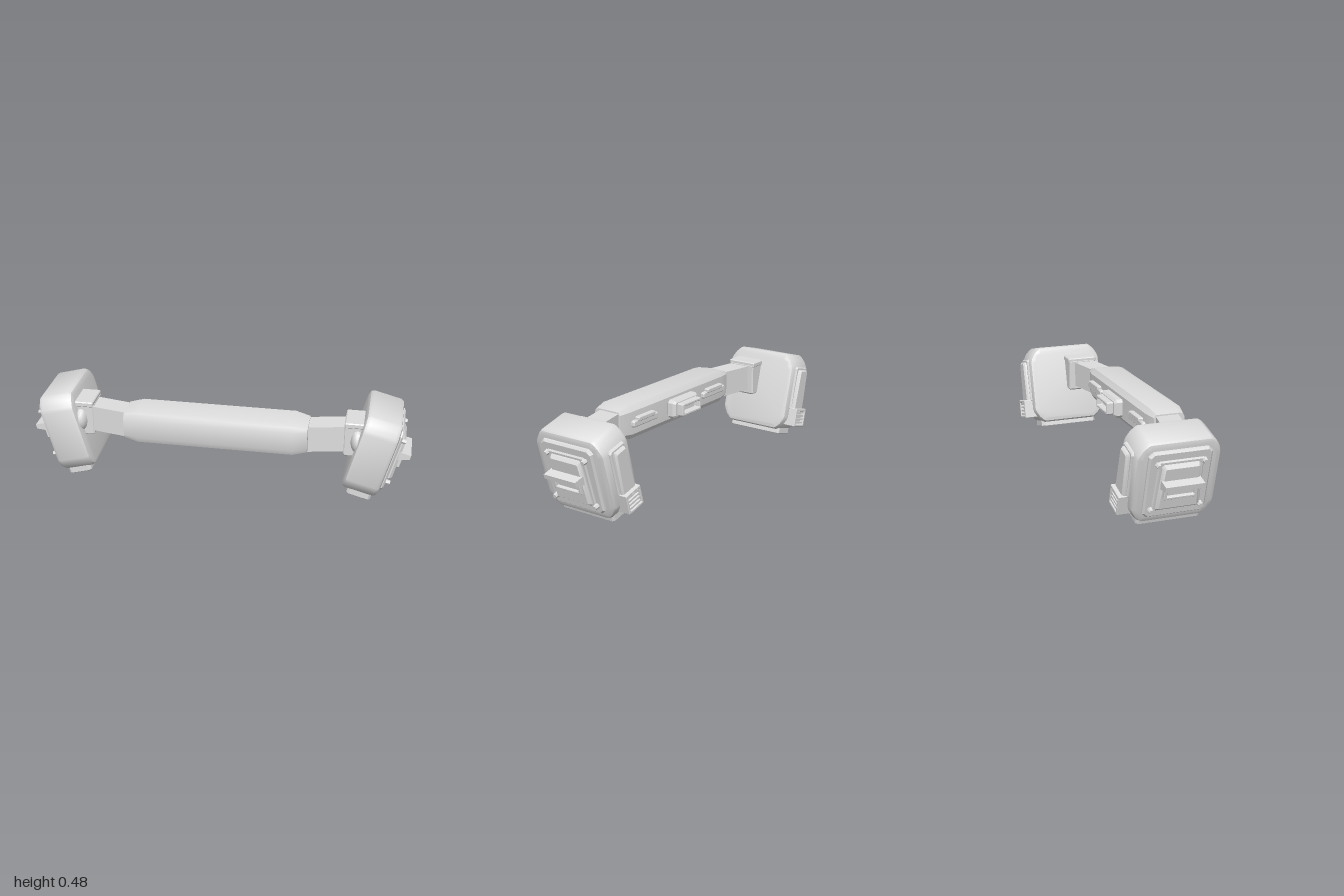
import * as THREE from 'three';
import { toCreasedNormals, mergeGeometries } from 'three/addons/utils/BufferGeometryUtils.js';

const TILT = THREE.MathUtils.degToRad(15);
const ZC = 0.008; // pod centre in depth

// Rectangle outline with cut corners
const cutRect = (w, h, cx, cy = cx) => [
  [-w + cx, -h], [w - cx, -h], [w, -h + cy], [w, h - cy],
  [w - cx, h], [-w + cx, h], [-w, h - cy], [-w, -h + cy],
];

// Bevelled slab along z from 0 to depth; the outline is its widest section
function slab(points, depth, bevel, thick = bevel, segments = 1, hole) {
  const shape = new THREE.Shape(points.map(p => new THREE.Vector2(...p)));
  if (hole) shape.holes.push(new THREE.Path(hole.map(p => new THREE.Vector2(...p))));
  const g = new THREE.ExtrudeGeometry(shape, {
    depth: depth - 2 * thick, bevelEnabled: bevel > 0, bevelSize: bevel,
    bevelThickness: thick, bevelOffset: -bevel, bevelSegments: segments,
  });
  return g.translate(0, 0, thick);
}

// The same slab, facing +x and placed on the pod's side
const sideSlab = (x, y, z, ...args) => slab(...args).rotateY(Math.PI / 2).translate(x, y, z);
// The same slab, facing -z
const backSlab = (x, y, z, ...args) => slab(...args).rotateY(Math.PI).translate(x, y, z);

const box = (x0, x1, y0, y1, z0, z1) =>
  new THREE.BoxGeometry(x1 - x0, y1 - y0, z1 - z0)
    .translate((x0 + x1) / 2, (y0 + y1) / 2, (z0 + z1) / 2);

function finish(g, crease = 0.5) {
  const out = toCreasedNormals(g, crease);
  out.deleteAttribute('uv');
  return out;
}

// Mirror across x and restore the corner order
function mirrored(geometry) {
  const g = geometry.clone();
  g.scale(-1, 1, 1);
  for (const name of ['position', 'normal']) {
    const a = g.attributes[name].array;
    for (let i = 0; i < a.length; i += 9) {
      for (let k = 0; k < 3; k++) [a[i + k], a[i + 6 + k]] = [a[i + 6 + k], a[i + k]];
    }
  }
  return g;
}

export function createModel() {
  const model = new THREE.Group();
  model.name = 'model';
  const grey = new THREE.MeshStandardMaterial({ color: 0xdddddd });
  grey.name = 'lightGrey';

  const sides = ['left', 'right'].map(s => {
    const group = new THREE.Group();
    group.name = s + 'End';
    model.add(group);
    return group;
  });
  const put = (parent, name, g) => {
    const mesh = new THREE.Mesh(g, grey);
    mesh.name = name;
    parent.add(mesh);
  };
  const pair = (name, geometry, crease) => {
    const g = finish(geometry, crease);
    put(sides[0], name, g);
    put(sides[1], name, mirrored(g));
  };
  const podPair = (name, geometry, crease) => pair(name, geometry.rotateZ(-TILT), crease);

  // Grip: a long soft-cornered bar, tapered at both ends
  const half = [[-0.05, 0.06], [-0.07, 0.088], [-0.21, 0.088], [-0.237, 0.079], [-0.25, 0.05]];
  const outline = [...half, ...half.map(([a, b]) => [a, -b]).reverse()];
  put(model, 'grip', finish(
    slab(outline, 0.95, 0.018, 0.075).rotateY(Math.PI / 2).translate(-0.475, 0.348, 0), 0.6));

  // Central fixture on the back of the grip
  put(model, 'centreBase', finish(
    backSlab(0, 0.348, 0.055, cutRect(0.11, 0.05, 0.015), 0.055, 0.012)));
  put(model, 'centreFrame', finish(
    backSlab(0, 0.348, 0.005, cutRect(0.083, 0.034, 0.006), 0.04, 0.004, 0.004, 1,
      cutRect(0.066, 0.018, 0.003))));

  // Stepped latches on the back of the grip, with small teeth below
  pair('latchPlate', backSlab(0.305, 0.345, 0.06, cutRect(0.103, 0.018, 0.008), 0.028, 0.006));
  pair('latchBar', backSlab(0.305, 0.366, 0.06, cutRect(0.07, 0.012, 0.005), 0.034, 0.004));
  const ribs = [];
  for (let i = -3; i <= 3; i++) {
    const x = 0.305 + i * 0.022;
    ribs.push(box(x - 0.005, x + 0.005, 0.32, 0.33, 0.043, 0.055));
  }
  pair('latchTeeth', mergeGeometries(ribs));

  // Arm: slants back from the grip to the pod
  const arm = box(0.45, 0.69, 0.272, 0.411, -0.06, 0.06);
  const p = arm.attributes.position;
  for (let i = 0; i < p.count; i++) p.setZ(i, p.getZ(i) + 0.137 - 0.21 * (p.getX(i) - 0.475));
  pair('arm', arm);

  // Bracket joining arm and pod
  pair('bracket', slab(cutRect(0.052, 0.088, 0.008), 0.157, 0.006).translate(0.705, 0.335, 0.006));
  pair('bracketCap', slab(cutRect(0.053, 0.014, 0.005), 0.165, 0.005).translate(0.708, 0.421, 0.002));
  pair('bracketBoss', new THREE.SphereGeometry(1, 20, 12)
    .scale(0.036, 0.066, 0.062).translate(0.722, 0.333, 0.14), 1);

  // Pod body with rounded corners
  const corner = [[0.212, 0.138], [0.205, 0.158], [0.187, 0.188], [0.164, 0.21], [0.15, 0.218]];
  const flipped = corner.map(([a, b]) => [-a, b]).reverse();
  const podOutline = [...corner, ...flipped,
    ...corner.map(([a, b]) => [-a, -b]), ...flipped.map(([a, b]) => [-a, -b])];
  podPair('podBody', sideSlab(0.612, 0.453, ZC, podOutline, 0.19, 0.026, 0.022, 2), 0.7);

  // Foot below the pod
  podPair('foot', slab(cutRect(0.0635, 0.164, 0.012), 0.045, 0.003)
    .rotateX(Math.PI / 2).translate(0.7135, 0.254, ZC));

  // Layered panels on the outer face
  podPair('sidePlate', sideSlab(0.79, 0.455, ZC, cutRect(0.158, 0.178, 0.022), 0.03, 0.009));
  podPair('innerPlate', sideSlab(0.81, 0.453, ZC, [
    [-0.122, -0.136], [0.122, -0.136], [0.112, 0.136], [-0.112, 0.136]], 0.018, 0.006));
  podPair('taperedPanel', sideSlab(0.815, 0.451, ZC, [
    [-0.1, -0.122], [0.1, -0.122], [0.109, -0.112], [0.097, 0.108], [0.085, 0.122],
    [-0.085, 0.122], [-0.097, 0.108], [-0.109, -0.112]], 0.035, 0.014));
  podPair('ledge', slab([[0.84, 0.45], [0.9, 0.473], [0.9, 0.497], [0.84, 0.497]], 0.194, 0, 0)
    .translate(0, 0, ZC - 0.097));
  podPair('ledgeBlock', sideSlab(0.84, 0.437, ZC, cutRect(0.084, 0.036, 0.004), 0.026, 0.003, 0.003, 1,
    cutRect(0.068, 0.022, 0.002)));

  // Hexagonal bolts at the panel corners
  const bolts = [];
  for (const [y, w] of [[0.574, 0.115], [0.326, 0.125]]) {
    for (const s of [-1, 1]) {
      bolts.push(new THREE.CylinderGeometry(0.012, 0.015, 0.04, 6)
        .rotateZ(-Math.PI / 2).translate(0.825, y, ZC + s * w));
    }
  }
  podPair('bolts', mergeGeometries(bolts));

  // Back strip with a slatted vent below it
  podPair('backStripBase', backSlab(0.705, 0.482, -0.19, cutRect(0.058, 0.125, 0.012), 0.024, 0.006));
  podPair('backStrip', backSlab(0.705, 0.478, -0.19, [
    [-0.05, -0.115], [0.05, -0.115], [0.042, 0.1], [0.034, 0.115], [-0.034, 0.115], [-0.042, 0.1]],
    0.043, 0.009));
  podPair('ventFrame', backSlab(0.705, 0.32, -0.18, cutRect(0.055, 0.052, 0.003), 0.073, 0.003, 0.003, 1,
    cutRect(0.042, 0.038, 0.002)));
  const slats = [box(0.66, 0.75, 0.28, 0.36, -0.232, -0.18)];
  for (let i = 0; i < 4; i++) {
    const y = 0.29 + i * 0.02;
    slats.push(box(0.66, 0.75, y - 0.005, y + 0.005, -0.248, -0.23));
  }
  podPair('ventSlats', mergeGeometries(slats));

  return model;
}
